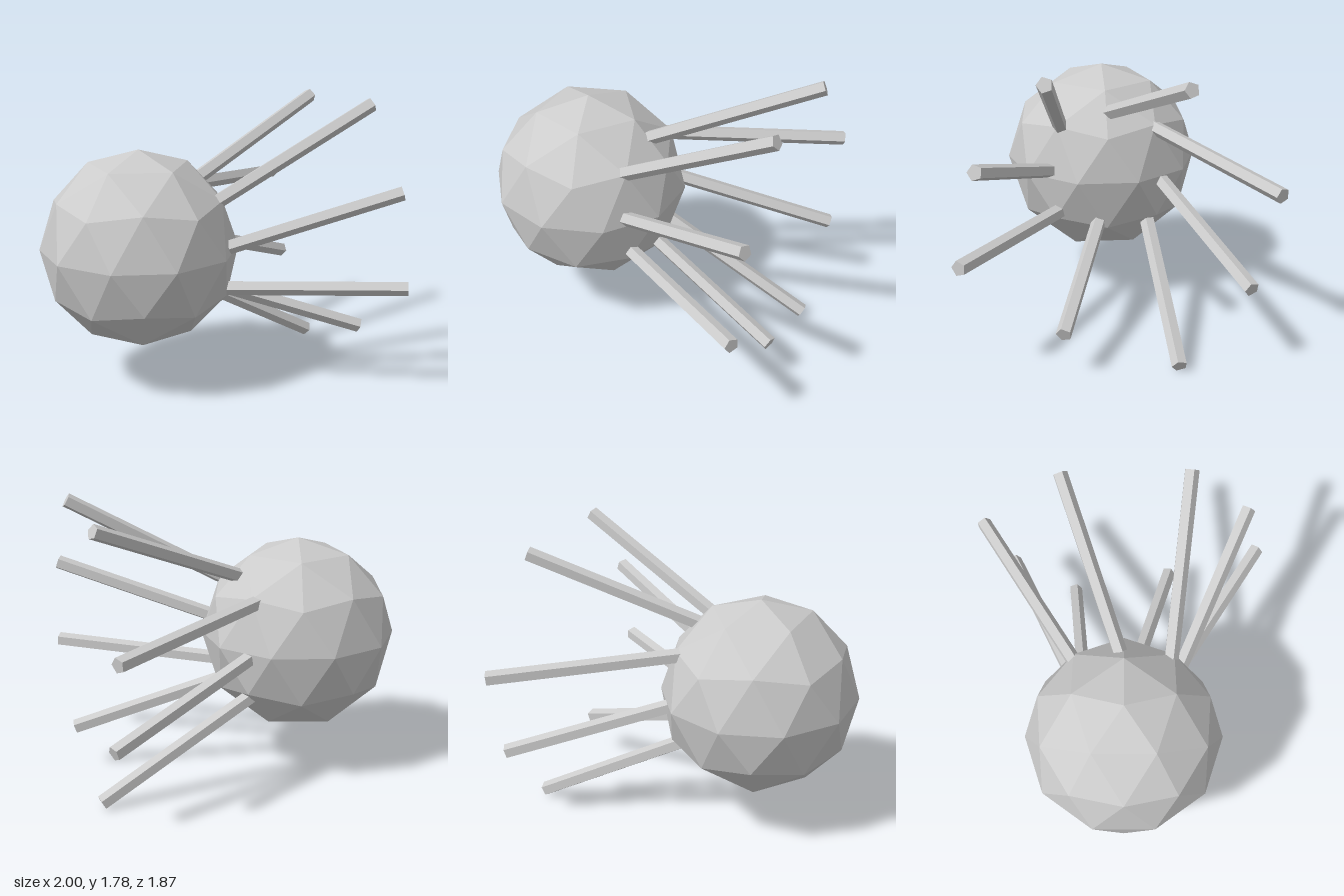
import * as THREE from 'three';

const material = new THREE.MeshStandardMaterial({ color: 0xcccccc, flatShading: true });

// Five-sided rod between two points, sunk a little way into the ball
function makeRod(base, tip, radius = 0.047, sink = 0.1) {
  const a = new THREE.Vector3(...base);
  const b = new THREE.Vector3(...tip);
  const dir = b.clone().sub(a).normalize();
  a.addScaledVector(dir, -sink);
  const geometry = new THREE.CylinderGeometry(radius, radius, a.distanceTo(b), 5);
  geometry.rotateZ(-Math.PI / 2);
  const rod = new THREE.Mesh(geometry, material);
  rod.quaternion.setFromUnitVectors(new THREE.Vector3(1, 0, 0), dir);
  rod.position.copy(a).add(b).multiplyScalar(0.5);
  return rod;
}

export function createModel() {
  const model = new THREE.Group();
  model.name = 'spikedBall';

  // Faceted ball, turned so that a corner points straight up
  const ballGeometry = new THREE.IcosahedronGeometry(0.6125, 1);
  ballGeometry.rotateZ(-Math.atan(2 / (1 + Math.sqrt(5))));
  const ball = new THREE.Mesh(ballGeometry, material);
  ball.name = 'ball';
  ball.position.set(-0.4175, 0.8875, 0.005);
  model.add(ball);

  // Ring of rods fanning out to one side: [base, tip]
  const rods = new THREE.Group();
  rods.name = 'rods';
  [
    [[-0.02, 1.205, 0.29], [0.965, 1.747, 0.403]],
    [[-0.04, 1.28, -0.01], [0.965, 1.702, -0.378]],
    [[-0.05, 1.185, -0.287], [0.96, 1.085, -0.9]],
    [[0.03, 0.85, -0.34], [0.965, 0.522, -0.75]],
    [[-0.01, 0.577, -0.257], [0.96, 0.045, -0.348]],
    [[0.04, 0.62, 0.045], [0.98, 0.286, 0.322]],
    [[0, 0.658, 0.287], [0.96, 0.708, 0.897]],
    [[0, 0.924, 0.348], [0.965, 1.27, 0.786]],
  ].forEach(([base, tip], i) => {
    const rod = makeRod(base, tip);
    rod.name = `rod${i + 1}`;
    rods.add(rod);
  });
  model.add(rods);

  return model;
}
